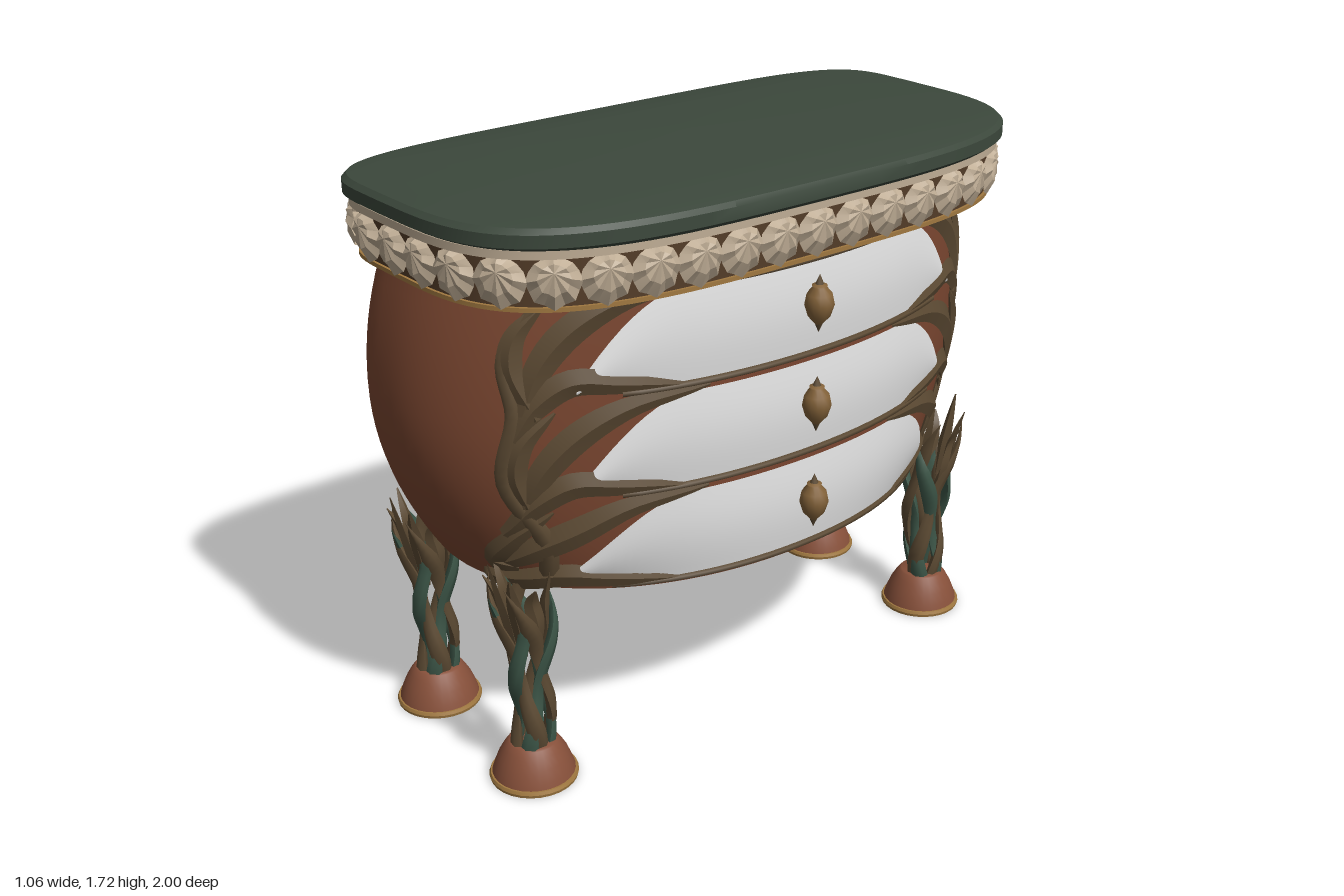
import * as THREE from 'three';
import { toCreasedNormals } from 'three/addons/utils/BufferGeometryUtils.js';

const V = (x, y, z) => new THREE.Vector3(x, y, z);
const mat = (name, color) => Object.assign(new THREE.MeshStandardMaterial({ color }), { name });
const M = {
  body: mat('russet body', 0x7a4630),
  leaf: mat('brown leaf', 0x5c4a33),
  frieze: mat('dark brown frieze', 0x533c28),
  vine: mat('green vine', 0x3c5547),
  top: mat('dark green top', 0x3c483c),
  cream: mat('cream shell', 0xbfad95),
  white: mat('white drawer', 0xe2e2e2),
  gold: mat('gold trim', 0xa07840),
  foot: mat('terracotta foot', 0x87503a),
  knob: mat('bronze knob', 0x84633a),
};
M.white.side = THREE.DoubleSide;
M.cream.side = THREE.DoubleSide;

const CX = -0.13;

// Skin a stack of closed rings of points
function skin(rings, crease = 0.6) {
  const n = rings[0].length, pos = [], idx = [];
  rings.forEach(r => r.forEach(p => pos.push(p.x, p.y, p.z)));
  for (let j = 0; j < rings.length - 1; j++) for (let i = 0; i < n; i++) {
    const k = (i + 1) % n, a = j * n + i, b = a + n, c = j * n + k, d = c + n;
    idx.push(a, b, c, c, b, d);
  }
  const g = new THREE.BufferGeometry();
  g.setAttribute('position', new THREE.Float32BufferAttribute(pos, 3));
  g.setIndex(idx);
  return toCreasedNormals(g, crease);
}

// Rounded plan outline with separate front and back depth
function outline(y, back, front, b, nF, nB, s = 1, count = 96) {
  const pts = [];
  for (let i = 0; i < count; i++) {
    const th = (i / count) * Math.PI * 2, c = Math.cos(th), q = Math.sin(th);
    const e = 2 / (c >= 0 ? nF : nB), a = c >= 0 ? front - CX : back + CX;
    pts.push(V(CX + s * a * Math.sign(c) * Math.abs(c) ** e, y, s * b * Math.sign(q) * Math.abs(q) ** e));
  }
  return pts;
}

// Swelling body profile at height y
function prof(y) {
  const low = y < 1.12, k = 1 - ((y - 1.12) / (low ? 0.54 : 0.36)) ** 2;
  return low ? { back: 0.44 + 0.09 * k, front: 0.44 + 0.015 * k, b: 0.82 + 0.18 * k }
    : { back: 0.46 + 0.07 * k, front: 0.45 + 0.005 * k, b: 0.95 + 0.05 * k };
}
const NF = 2.08, NB = 3;
function onFront(z, y) {
  const p = prof(y), t = Math.min(Math.abs(z) / p.b, 0.97);
  return V(CX + (p.front - CX) * (1 - t ** NF) ** (1 / NF), y, Math.sign(z) * t * p.b);
}
function onSide(x, y, s) {
  const p = prof(y), f = x > CX, n = f ? NF : NB, a = f ? p.front - CX : p.back + CX;
  const t = Math.min(Math.abs(x - CX) / a, 0.98);
  return V(CX + (f ? 1 : -1) * t * a, y, s * p.b * (1 - t ** n) ** (1 / n));
}
function bodyNormal(q) {
  const p = prof(q.y), f = q.x > CX, n = f ? NF : NB, a = f ? p.front - CX : p.back + CX;
  return V(Math.sign(q.x - CX) * (Math.abs(q.x - CX) / a) ** (n - 1) / a, 0,
    Math.sign(q.z) * (Math.abs(q.z) / p.b) ** (n - 1) / p.b).normalize();
}

// Tapered blade swept along a path; flat sections make leaves, round ones vines
function blade(pts, normal, width, thick, sides = 4, taper = t => Math.sin(Math.PI * Math.min(0.98, 0.12 + 0.87 * t)) ** 0.8) {
  const rings = pts.map((p, i) => {
    const T = pts[Math.min(i + 1, pts.length - 1)].clone().sub(pts[Math.max(i - 1, 0)]).normalize();
    const S = T.clone().cross(normal(p)).normalize(), N = S.clone().cross(T);
    const k = taper(i / (pts.length - 1));
    return Array.from({ length: sides }, (_, j) => {
      const a = (j / sides) * Math.PI * 2;
      return p.clone().addScaledVector(S, Math.cos(a) * width * k).addScaledVector(N, Math.sin(a) * thick * k);
    });
  });
  return skin(rings, sides > 4 ? 1.2 : 0.5);
}
const sample = (pairs, n = 18) =>
  new THREE.CatmullRomCurve3(pairs.map(([a, y]) => V(a, y, 0))).getPoints(n);

export function createModel() {
  const root = new THREE.Group();
  const add = (name, geo, m, parent = root) => {
    const mesh = new THREE.Mesh(geo, m);
    mesh.name = name;
    parent.add(mesh);
    return mesh;
  };
  const group = name => { const g = new THREE.Group(); g.name = name; root.add(g); return g; };

  // Bombe body
  const rings = [outline(0.58, 0.44, 0.44, 0.82, NF, NB, 0)];
  for (let i = 0; i <= 20; i++) {
    const y = 0.58 + 0.045 * i, p = prof(y);
    rings.push(outline(y, p.back, p.front, p.b, NF, NB));
  }
  add('body', skin(rings), M.body);

  // Frieze, trims and top slab, each lofted from [height, scale] pairs
  const loft = (name, m, back, front, b, levels) =>
    add(name, skin(levels.map(([y, s]) => outline(y, back, front, b, 3.5, 4.8, s))), m);
  loft('frieze', M.frieze, 0.475, 0.465, 0.955, [[1.48, 0], [1.48, 1], [1.64, 1]]);
  loft('lowerTrim', M.gold, 0.483, 0.473, 0.963, [[1.478, 0.96], [1.478, 1], [1.49, 1], [1.49, 0.96]]);
  loft('upperRim', M.cream, 0.497, 0.487, 0.977, [[1.622, 0.95], [1.622, 1], [1.645, 1], [1.645, 0.95]]);
  loft('topSlab', M.top, 0.51, 0.5, 0.99,
    [[1.643, 0], [1.643, 0.98], [1.655, 1], [1.69, 1], [1.704, 0.985], [1.714, 0.9], [1.72, 0.5], [1.72, 0]]);

  // Softly pleated shells with a pointed foot around the frieze
  const N = 16, hub = V(0, 0.03, 0.036), ring = f => Array.from({ length: N }, (_, i) => {
    const a = -Math.PI / 2 + (i / N) * Math.PI * 2, odd = i % 2;
    const r = 0.072 * (odd ? 0.95 : 1.02) * (Math.sin(a) > 0.5 ? 0.93 : 1) * (i === 0 ? 1.05 : 1);
    return V(Math.cos(a) * r * f, Math.sin(a) * r * f + 0.03 * (1 - f),
      (f === 1 ? 0.008 : 0.03) + (odd ? -0.003 : 0.003));
  });
  const shellGeo = skin([Array(N).fill(hub), ring(0.6), ring(1)], 0.3);
  const shells = group('shells');
  const line = new THREE.CatmullRomCurve3(outline(1.56, 0.475, 0.465, 0.955, 3.5, 4.8), true);
  line.arcLengthDivisions = 1000;
  for (let i = 0; i < 38; i++) {
    const p = line.getPointAt(i / 38), t = line.getTangentAt(i / 38);
    const s = add('shell', shellGeo, M.cream, shells);
    s.position.copy(p);
    s.rotation.y = Math.atan2(t.z, -t.x);
  }

  // Drawers with bowed fronts, knobs, rails and corner leaves
  const knobGeo = new THREE.LatheGeometry([[0, -0.072], [0.01, -0.06], [0.032, -0.035], [0.043, 0],
    [0.037, 0.028], [0.02, 0.048], [0.022, 0.054], [0, 0.06]].map(([r, y]) => new THREE.Vector2(r, y)), 14);
  const tipGeo = new THREE.ConeGeometry(0.013, 0.03, 8);
  const drawers = group('drawers'), leaves = group('cornerLeaves');
  const frontLeaf = (pairs, w, s, yb) => {
    const pts = sample(pairs.map(([z, y]) => [z, y + yb]), 18).map(q => {
      const p = onFront(q.x * s, Math.min(q.y, 1.477));
      return p.addScaledVector(bodyNormal(p), 0.008);
    });
    add('leaf', blade(pts, bodyNormal, w, 0.016), M.leaf, leaves);
  };
  const rail = y => {
    const pts = Array.from({ length: 25 }, (_, i) => {
      const p = onFront(0.58 - 1.16 * i / 24, y);
      return p.addScaledVector(bodyNormal(p), 0.004);
    });
    add('rail', blade(pts, bodyNormal, 0.01, 0.011, 6, () => 1), M.leaf, drawers);
  };
  [0.61, 0.912, 1.212].forEach(yb => {
    const geo = new THREE.PlaneGeometry(2, 1, 48, 10), pos = geo.attributes.position;
    for (let i = 0; i < pos.count; i++) {
      const z = -0.69 * pos.getX(i), v = pos.getY(i) + 0.5;
      const top = 0.27 - 0.25 * Math.max(0, (Math.abs(z) - 0.38) / 0.31) ** 2;
      const p = onFront(z, yb - 0.006 + top * v);
      p.addScaledVector(bodyNormal(p), 0.004 + 0.01 * Math.sin(Math.PI * v));
      pos.setXYZ(i, p.x, p.y, p.z);
    }
    geo.computeVertexNormals();
    add('drawerFront', geo, M.white, drawers);
    const yk = yb + 0.14;
    add('knob', knobGeo, M.knob, drawers).position.set(0.486, yk, 0);
    for (const d of [1, -1]) {
      const tip = add('knobTip', tipGeo, M.leaf, drawers);
      tip.position.set(0.486, yk + d * 0.07, 0);
      tip.rotation.x = d > 0 ? 0 : Math.PI;
    }
    rail(yb - 0.014);
    for (const s of [1, -1]) {
      const drop = yb < 0.7 ? 0.12 : 0;
      frontLeaf([[0.81, -0.06 + drop], [0.765, 0.08 + drop / 3], [0.685, 0.18], [0.56, 0.247], [0.34, 0.275]], 0.044, s, yb);
      frontLeaf([[0.83, -0.13 + drop], [0.78, -0.03 + drop / 4], [0.7, 0.03], [0.58, 0.016], [0.4, -0.012]], 0.04, s, yb);
      frontLeaf([[0.78, -0.07 + drop], [0.825, 0.07], [0.81, 0.16], [0.74, 0.25]], 0.034, s, yb);
    }
  });
  rail(1.472);

  // Climbing stems at the four corners
  const stem = (pairs, w, s) => {
    const pts = sample(pairs, 30).map(q => {
      const p = onSide(q.x, q.y, s);
      return p.addScaledVector(bodyNormal(p), 0.006);
    });
    add('cornerStem', blade(pts, bodyNormal, w, 0.016, 6, t => 1 - 0.5 * t), M.leaf, leaves);
  };
  for (const s of [1, -1]) {
    stem([[0.18, 0.6], [0.22, 0.76], [0.18, 0.95], [0.21, 1.15], [0.19, 1.32], [0.25, 1.478]], 0.03, s);
    stem([[-0.34, 0.62], [-0.42, 0.82], [-0.45, 1.02], [-0.42, 1.25], [-0.385, 1.478]], 0.026, s);
    stem([[-0.37, 0.66], [-0.4, 0.85], [-0.42, 1.05], [-0.45, 1.22], [-0.39, 1.42]], 0.018, s);
    const pts = sample([[-0.43, 1.15], [-0.4, 1.28], [-0.385, 1.38], [-0.4, 1.477]]).map(q => onSide(q.x, q.y, s));
    add('leaf', blade(pts, bodyNormal, 0.036, 0.022), M.leaf, leaves);
  }

  // Legs of entwined vines on bell-shaped feet
  const lathe = pts => toCreasedNormals(new THREE.LatheGeometry(pts.map(([r, y]) => new THREE.Vector2(r, y)), 28), 0.6);
  const footGeo = lathe([[0.122, 0.014], [0.116, 0.035], [0.102, 0.07], [0.085, 0.1], [0.072, 0.117], [0.066, 0.121], [0, 0.122]]);
  const rimGeo = lathe([[0, 0], [0.128, 0], [0.13, 0.009], [0.126, 0.018], [0.1, 0.018]]);
  const radial = p => V(p.x, 0, p.z).normalize();
  for (const [x, name] of [[0.18, 'frontLeg'], [-0.34, 'backLeg']]) for (const s of [1, -1]) {
    const leg = group(name);
    leg.position.set(x, 0, s * 0.795);
    add('foot', footGeo, M.foot, leg);
    add('footRim', rimGeo, M.gold, leg);
    for (let k = 0; k < 8; k++) {
      const inner = k % 2, topY = inner ? 0.62 : 0.66 + 0.03 * (k % 3), turn = inner ? -2.3 : 2.6;
      const pts = Array.from({ length: 25 }, (_, i) => {
        const t = i / 24, a = (k / 8) * Math.PI * 2 + turn * t;
        const r = (inner ? 0.042 : 0.043) + 0.012 * Math.sin(t * 9 + k) + 0.045 * t ** 2;
        return V(Math.cos(a) * r, 0.1 + (topY - 0.1) * t, s * (Math.sin(a) * r + 0.02 * t ** 3));
      });
      add('vine', blade(pts, radial, 0.027, 0.017, 6, t => t > 0.75 ? Math.max(0.03, (1 - t) * 4) : 0.85 + 0.15 * Math.sin(t * 11 + k)),
        inner ? M.vine : M.leaf, leg);
    }
    // Leaf tips flaring against the body
    for (let k = 0; k < 5; k++) {
      const a = 0.2 + k * 0.68, c = Math.cos(a), q = Math.sin(a) * s;
      const pts = new THREE.CatmullRomCurve3([[0.045, 0.42], [0.07, 0.53], [0.075, 0.61], [0.105, 0.66 + 0.035 * (k % 3)]]
        .map(([r, y]) => V(c * r, y, q * r + s * (y > 0.6 ? 0.015 : 0)))).getPoints(14);
      add('legLeaf', blade(pts, radial, 0.025, 0.012), M.leaf, leg);
    }
  }
  return root;
}
